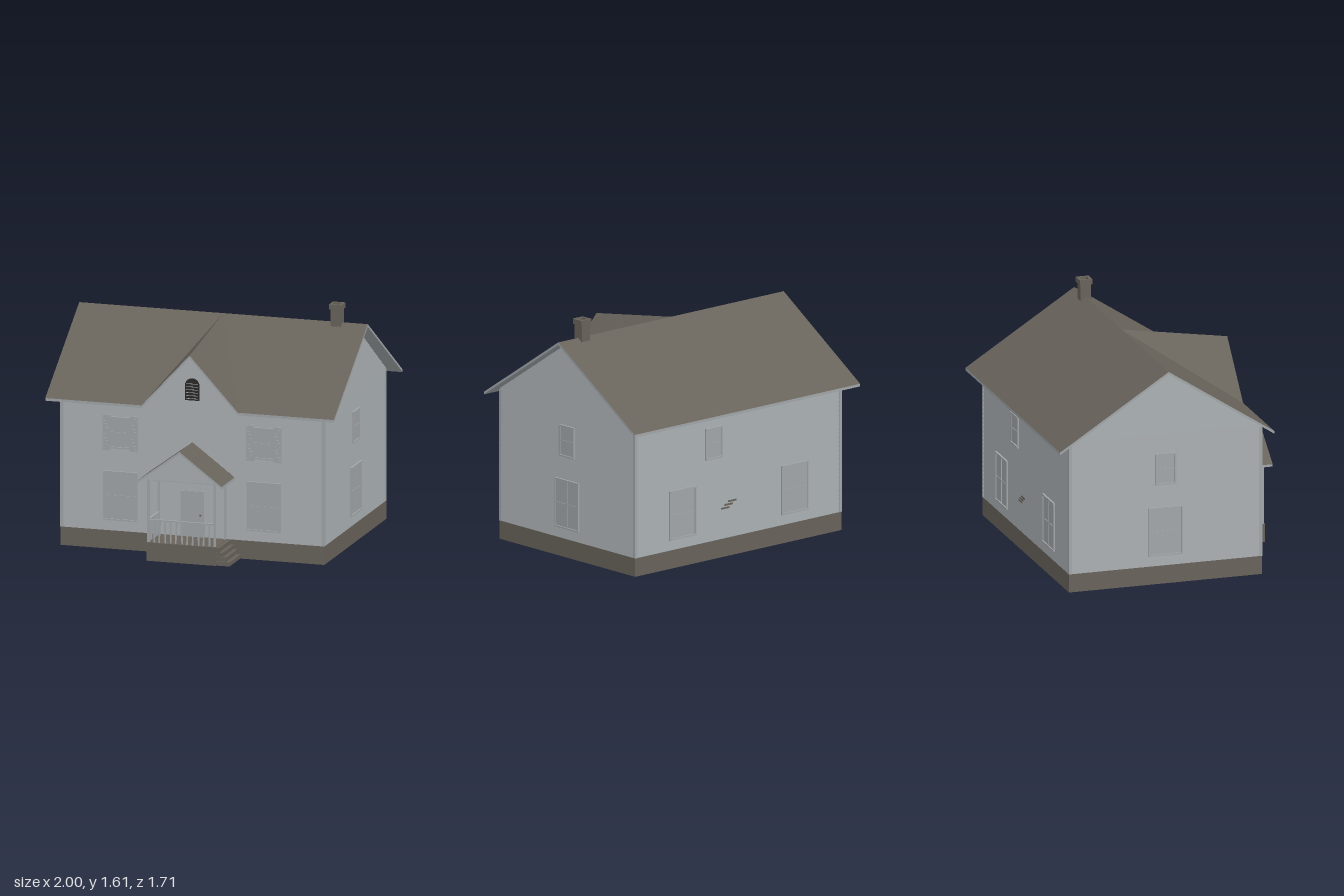
import * as THREE from 'three';

const mat = (name, color, side = THREE.FrontSide) => {
  const m = new THREE.MeshStandardMaterial({ color, side });
  m.name = name;
  return m;
};

export function createModel() {
  const house = new THREE.Group();
  house.name = 'house';
  const grey = mat('paleGreySiding', 0xa1a6a9, THREE.DoubleSide);
  const brown = mat('brownGreyRoof', 0x68635b);
  const dark = mat('darkOpening', 0x2b2a28);

  const add = (parent, name, geo, material, x = 0, y = 0, z = 0) => {
    const m = new THREE.Mesh(geo, material);
    m.name = name;
    m.position.set(x, y, z);
    parent.add(m);
    return m;
  };
  // Box given by its extents
  const box = (parent, name, material, x0, x1, y0, y1, z0, z1) =>
    add(parent, name, new THREE.BoxGeometry(x1 - x0, y1 - y0, z1 - z0), material,
      (x0 + x1) / 2, (y0 + y1) / 2, (z0 + z1) / 2);
  const group = (parent, name, x = 0, y = 0, z = 0, ry = 0) => {
    const g = new THREE.Group();
    g.name = name;
    g.position.set(x, y, z);
    g.rotation.y = ry;
    parent.add(g);
    return g;
  };
  const fromPoints = (pts) => {
    const g = new THREE.BufferGeometry().setFromPoints(pts);
    g.computeVertexNormals();
    return g;
  };

  // Lap boards facing +z, tapering from half width w0 at y0 to w1 at y1
  const siding = (parent, name, y0, y1, w0, w1, pitch = 0.03, lip = 0.006) => {
    const rows = Math.round((y1 - y0) / pitch), pts = [];
    const quad = (a, b, c, d) => pts.push(a, b, c, a, c, d);
    const V = (x, y, z) => new THREE.Vector3(x, y, z);
    for (let i = 0; i < rows; i++) {
      const t = i / rows, u = (i + 1) / rows;
      const a = y0 + (y1 - y0) * t, b = y0 + (y1 - y0) * u;
      const wa = w0 + (w1 - w0) * t, wb = w0 + (w1 - w0) * u;
      quad(V(-wa, a, lip), V(wa, a, lip), V(wb, b, 0), V(-wb, b, 0));
      quad(V(-wa, a, 0), V(wa, a, 0), V(wa, a, lip), V(-wa, a, lip));
    }
    return add(parent, name, fromPoints(pts), grey);
  };

  // Roof slab: shingled top, pale edges and underside
  const slab = (parent, name, corners, thick = 0.018) => {
    let top = corners.map((c) => new THREE.Vector3(...c));
    const n = new THREE.Vector3().crossVectors(
      top[1].clone().sub(top[0]), top[2].clone().sub(top[0]));
    if (n.y < 0) top = top.reverse();
    const low = top.map((p) => p.clone().setY(p.y - thick));
    const upper = [], rest = [];
    for (let i = 1; i < top.length - 1; i++) {
      upper.push(top[0], top[i], top[i + 1]);
      rest.push(low[0], low[i + 1], low[i]);
    }
    top.forEach((p, i) => {
      const j = (i + 1) % top.length;
      rest.push(low[i], low[j], top[j], low[i], top[j], p);
    });
    const g = fromPoints([...upper, ...rest]);
    g.addGroup(0, upper.length, 0);
    g.addGroup(upper.length, rest.length, 1);
    add(parent, name, g, [brown, grey]);
  };

  // Hollow foundation with a floor
  const foundation = (name, x0, x1, z0, z1) => {
    const g = group(house, name), t = 0.012, h = 0.125;
    box(g, 'floor', brown, x0, x1, h - 0.01, h, z0, z1);
    for (const x of [x0, x1 - t]) box(g, 'sideSkirt', brown, x, x + t, 0, h, z0, z1);
    for (const z of [z0, z1 - t]) box(g, 'crossSkirt', brown, x0, x1, 0, h, z, z + t);
  };
  foundation('houseFoundation', -0.915, 0.915, -0.765, 0.575);
  foundation('porchFoundation', -0.24, 0.24, 0.57, 0.82);

  // Walls, each group facing outward along its own +z
  const front = group(house, 'frontWall', 0, 0, 0.569);
  const back = group(house, 'backWall', 0, 0, -0.759, Math.PI);
  const leftSide = group(house, 'leftWall', 0.909, 0, -0.095, Math.PI / 2);
  const rightSide = group(house, 'rightWall', -0.909, 0, -0.095, -Math.PI / 2);
  for (const w of [front, back]) siding(w, 'boards', 0.125, 1.03, 0.91, 0.91);
  siding(front, 'gableBoards', 1.03, 1.362, 0.308, 0);
  for (const w of [leftSide, rightSide]) {
    siding(w, 'boards', 0.125, 1.03, 0.665, 0.665);
    siding(w, 'gableBoards', 1.03, 1.47, 0.665, 0);
  }
  for (const x of [-0.906, 0.906]) for (const z of [-0.756, 0.566])
    box(house, 'cornerBoard', grey, x - 0.011, x + 0.011, 0.125, 1.02, z - 0.011, z + 0.011);

  // Windows
  const windowUnit = (wall, x, y0, w, h, upright) => {
    const g = group(wall, 'window', x, y0, 0.006), r = 0.011, d = 0.01;
    box(g, 'pane', grey, -w / 2, w / 2, 0, h, 0, 0.004);
    for (const s of [-1, 1])
      box(g, 'jamb', grey, s * (w / 2 - r / 2) - r / 2, s * (w / 2 - r / 2) + r / 2, 0, h, 0, d);
    for (const y of [0, h - r]) box(g, 'rail', grey, -w / 2, w / 2, y, y + r, 0, d + 0.003);
    box(g, 'crossBar', grey, -w / 2, w / 2, h / 2 - 0.004, h / 2 + 0.004, 0, 0.008);
    if (upright) box(g, 'uprightBar', grey, -0.004, 0.004, 0, h, 0, 0.008);
  };
  const lower = (wall, x) => windowUnit(wall, x, 0.195, 0.235, 0.335, true);
  const upper = (wall, x) => windowUnit(wall, x, 0.685, 0.148, 0.215, false);
  for (const s of [-1, 1]) {
    lower(front, s * 0.497);
    lower(back, s * 0.497);
    upper(front, s * 0.497);
    // Louvred shutters
    for (const k of [-1, 1]) {
      const g = group(front, 'shutter', s * 0.497 + k * 0.096, 0.67, 0.006);
      box(g, 'panel', grey, -0.025, 0.025, 0, 0.24, 0, 0.008);
      for (const e of [-0.025, 0.018]) box(g, 'stile', grey, e, e + 0.007, 0, 0.24, 0, 0.014);
      for (let i = 0; i < 10; i++)
        box(g, 'louvre', grey, -0.018, 0.018, 0.01 + i * 0.023, 0.018 + i * 0.023, 0, 0.013);
    }
  }
  for (const w of [leftSide, rightSide]) { lower(w, 0); upper(w, 0); }
  upper(back, -0.22);

  // Small staggered patch on the back wall
  for (let i = 0; i < 3; i++)
    box(back, 'patchBoard', brown, -0.15 + i * 0.03, -0.08 + i * 0.03,
      0.325 + i * 0.02, 0.337 + i * 0.02, 0, 0.008);

  // Arched gable vent with slats
  const arch = new THREE.Shape();
  arch.moveTo(-0.05, 0);
  arch.lineTo(0.05, 0);
  arch.lineTo(0.05, 0.1);
  arch.absarc(0, 0.1, 0.05, 0, Math.PI);
  const vent = group(front, 'gableVent', 0, 1.05, 0.006);
  add(vent, 'opening', new THREE.ExtrudeGeometry(arch, { depth: 0.004, bevelEnabled: false }), dark);
  for (let i = 0; i < 6; i++)
    box(vent, 'slat', grey, -0.04, 0.04, 0.012 + i * 0.02, 0.014 + i * 0.02, 0.004, 0.012);

  // Front door
  const door = group(front, 'door', 0, 0.125, 0.006);
  box(door, 'doorPanel', grey, -0.08, 0.08, 0, 0.31, 0, 0.006);
  add(door, 'knob', new THREE.SphereGeometry(0.007, 10, 8), brown, 0.06, 0.15, 0.012);

  // Main roof with front cross gable
  const roof = group(house, 'roof');
  const peak = [0, 1.485, -0.1];
  slab(roof, 'backSlope', [[-1, 1.485, -0.1], [1, 1.485, -0.1], [1, 1, -0.855], [-1, 1, -0.855]]);
  for (const s of [-1, 1]) {
    slab(roof, 'frontSlope', [peak, [s, 1.485, -0.1], [s, 1.005, 0.635], [s * 0.335, 1.005, 0.635]]);
    slab(roof, 'gableSlope', [peak, [s * 0.335, 1.005, 0.635], [0, 1.368, 0.635]]);
  }

  // Chimney
  const chimney = group(house, 'chimney', 0.788, 0, -0.1);
  box(chimney, 'stack', brown, -0.036, 0.036, 1.4, 1.59, -0.036, 0.036);
  for (const s of [-1, 1]) {
    box(chimney, 'capSide', brown, s * 0.035 - 0.009, s * 0.035 + 0.009, 1.575, 1.61, -0.044, 0.044);
    box(chimney, 'capEnd', brown, -0.026, 0.026, 1.575, 1.61, s * 0.035 - 0.009, s * 0.035 + 0.009);
  }

  // Porch roof, gable and posts
  const porch = group(house, 'porch');
  for (const s of [-1, 1]) {
    slab(porch, 'porchRoofSlope', [[0, 0.765, 0.57], [s * 0.292, 0.548, 0.57],
      [s * 0.292, 0.548, 0.855], [0, 0.765, 0.855]], 0.016);
    for (const z of [0.582, 0.805])
      box(porch, 'post', grey, s * 0.23 - 0.007, s * 0.23 + 0.007, 0.125, 0.56, z - 0.007, z + 0.007);
    box(porch, 'sideBeam', grey, s * 0.23 - 0.007, s * 0.23 + 0.007, 0.545, 0.565, 0.575, 0.812);
  }
  siding(porch, 'porchGableBoards', 0.55, 0.752, 0.262, 0, 0.022, 0.004).position.z = 0.81;
  box(porch, 'frontBeam', grey, -0.235, 0.235, 0.545, 0.56, 0.798, 0.812);

  // Railings with slightly uneven balusters
  const railing = (name, length, count, x, z, ry) => {
    const g = group(porch, name, x, 0.125, z, ry);
    box(g, 'handrail', grey, 0, length, 0.146, 0.156, -0.007, 0.007);
    for (let i = 1; i <= count; i++) {
      const b = add(g, 'baluster', new THREE.BoxGeometry(0.009, 0.148, 0.009), grey,
        (length * i) / (count + 1), 0.074, 0);
      b.rotation.z = 0.05 * Math.sin(i * 2.3);
    }
  };
  railing('frontRailing', 0.46, 11, -0.23, 0.805, 0);
  railing('sideRailing', 0.222, 5, -0.23, 0.805, Math.PI / 2);

  // Side steps
  for (let i = 0; i < 4; i++)
    box(house, 'step', brown, 0.235, 0.265 + i * 0.0235, 0.094 - i * 0.0305, 0.122 - i * 0.0305, 0.575, 0.818);
  return house;
}
